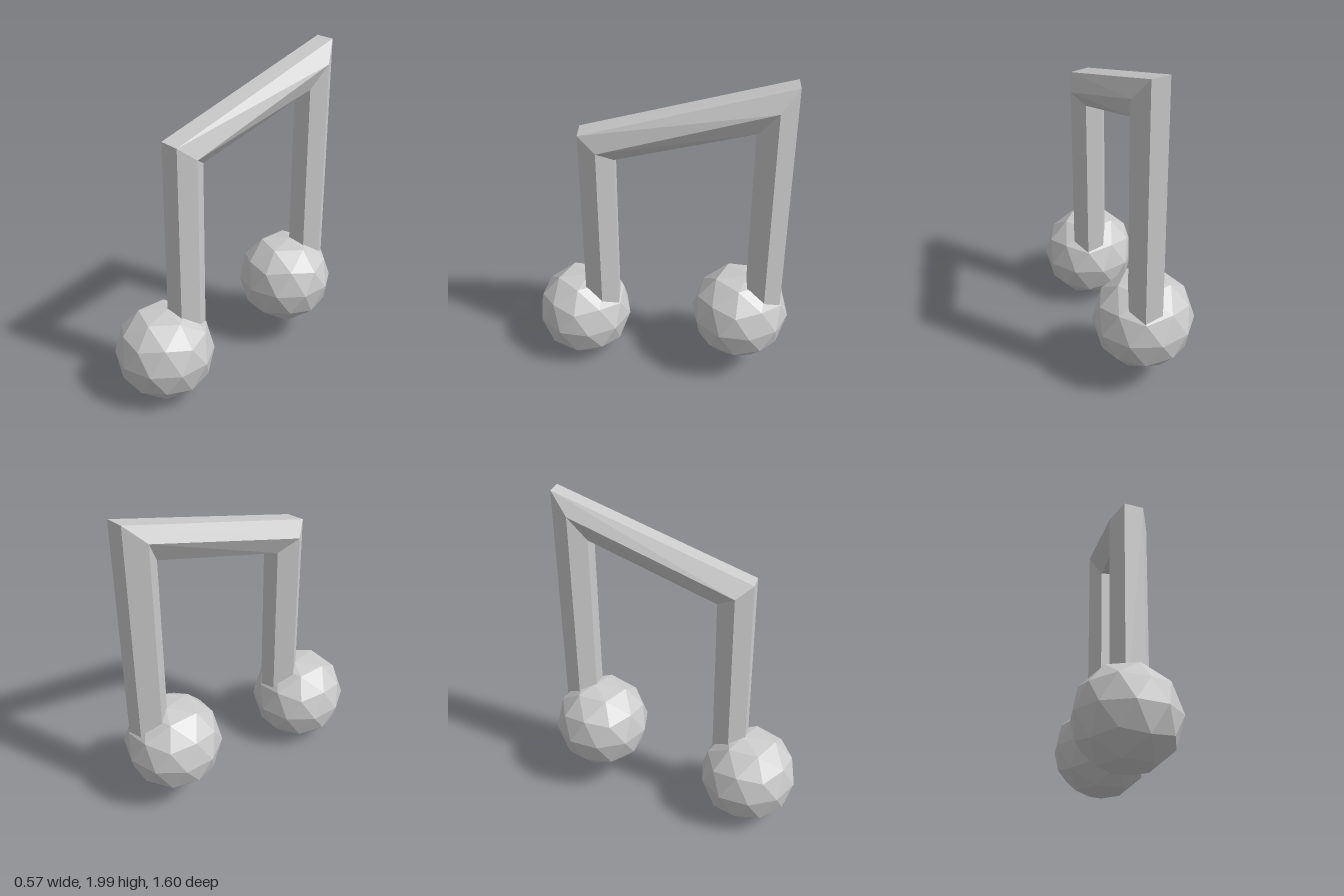
import * as THREE from 'three';

const RADIUS = 0.298;
const material = new THREE.MeshStandardMaterial({ color: 0xcccccc, flatShading: true });

// Six-sided stem section [x, z] of the front stem; the back stem is one unit behind it
const section = [[0, 0.47], [0.113, 0.455], [0.15, 0.345], [0.085, 0.253], [-0.022, 0.268], [-0.075, 0.385]];
const frontTop = [1.63, 1.62, 1.535, 1.475, 1.485, 1.565];
const backTop = [1.72, 1.73, 1.87, 1.995, 2.0, 1.88];

// Faceted ball standing on a corner, its top corner pulled towards the stem
function makeBall(name, y, z) {
  const geo = new THREE.IcosahedronGeometry(RADIUS, 1);
  geo.rotateZ(-Math.atan(2 / (1 + Math.sqrt(5))));
  const pos = geo.attributes.position;
  for (let i = 0; i < pos.count; i++) {
    if (pos.getY(i) > RADIUS * 0.99) pos.setXYZ(i, 0, 0.275, -0.04);
  }
  geo.computeVertexNormals();
  const ball = new THREE.Mesh(geo, material);
  ball.name = name;
  ball.position.set(0, y, z);
  return ball;
}

// Faceted tube between two six-cornered rings
function makeBar(name, from, to) {
  const points = [];
  for (let i = 0; i < 6; i++) {
    const j = (i + 1) % 6;
    points.push(from[i], from[j], to[j], from[i], to[j], to[i]);
  }
  const geo = new THREE.BufferGeometry().setFromPoints(points);
  geo.computeVertexNormals();
  const bar = new THREE.Mesh(geo, material);
  bar.name = name;
  return bar;
}

export function createModel() {
  const group = new THREE.Group();
  group.name = 'beamedNotes';
  const frontY = 0.305, backY = 0.435;

  // Rings along the frame: up the front stem, over the beam, down the back stem
  const ring = (heights, dz) => section.map(([x, z], i) => new THREE.Vector3(x, heights[i], z + dz));
  const flat = (y) => Array(6).fill(y);
  const overTheBeam = [4, 3, 2, 1, 0, 5]; // outer corners of one stem meet those of the other
  const turn = (r) => overTheBeam.map((k) => r[k]);
  const rings = [
    ring(flat(frontY), 0),
    ring(frontTop, 0),
    turn(ring(backTop, -1)),
    turn(ring(flat(backY), -1)),
  ];
  ['frontStem', 'beam', 'backStem'].forEach((name, i) => group.add(makeBar(name, rings[i], rings[i + 1])));

  // Note heads
  group.add(makeBall('frontNoteHead', frontY, 0.5), makeBall('backNoteHead', backY, -0.5));
  return group;
}
